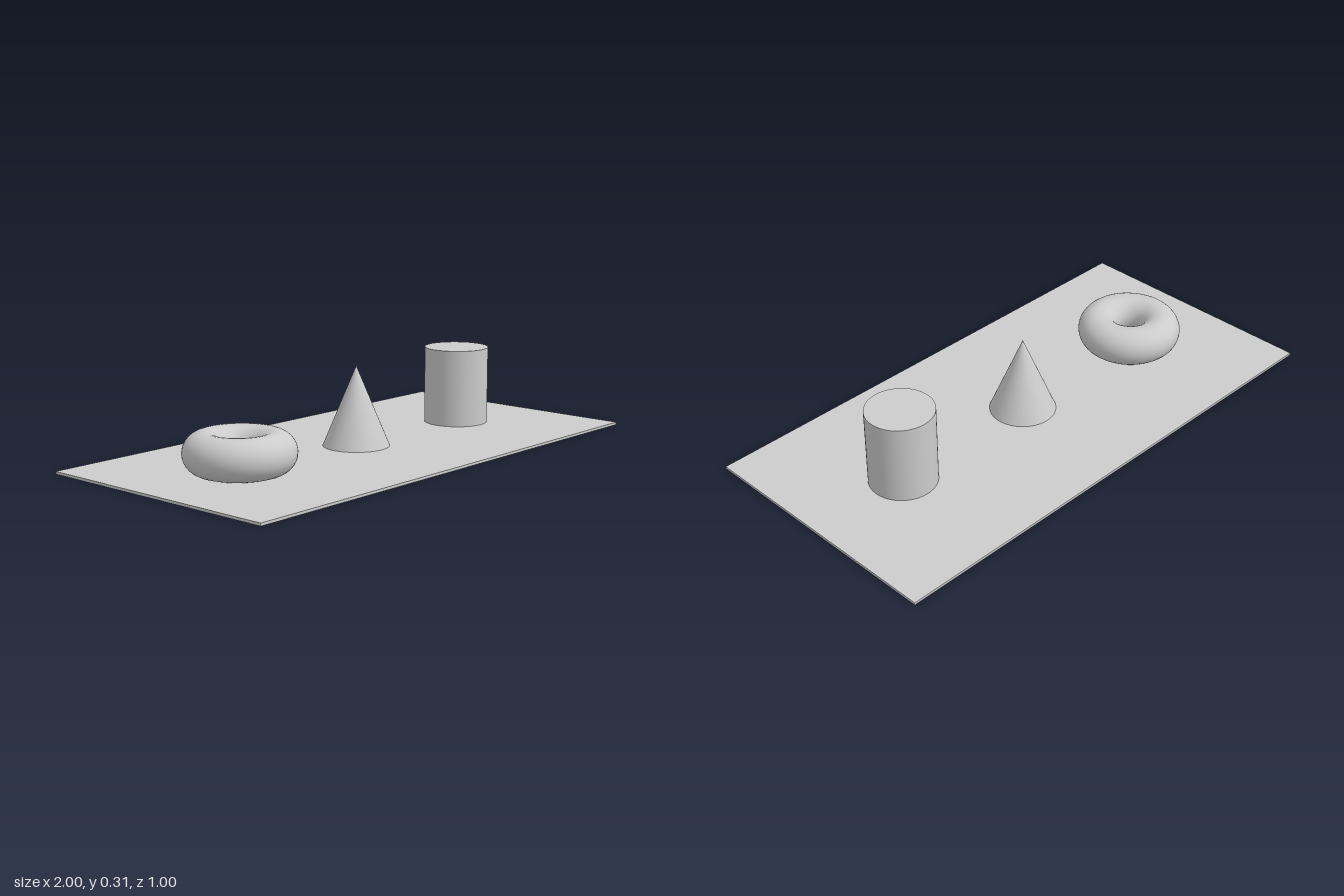
import * as THREE from 'three';

const PLATE = 0.01; // plate thickness
const RADIUS = 0.125;
const HEIGHT = 0.3;

export function createModel() {
  const model = new THREE.Group();
  model.name = 'solidsOnPlate';
  const material = new THREE.MeshStandardMaterial({ color: 0xcccccc });

  const add = (name, geometry, x, y) => {
    const mesh = new THREE.Mesh(geometry, material);
    mesh.name = name;
    mesh.position.set(x, y, 0);
    model.add(mesh);
  };

  // Thin base plate
  add('basePlate', new THREE.BoxGeometry(2, PLATE, 1), 0, PLATE / 2);

  // Ring lying flat on the plate
  const tube = 0.075;
  const ring = new THREE.TorusGeometry(RADIUS, tube, 32, 64).rotateX(Math.PI / 2);
  add('ring', ring, -0.6, PLATE + tube);

  // Cone in the middle
  add('cone', new THREE.ConeGeometry(RADIUS, HEIGHT, 64), 0, PLATE + HEIGHT / 2);

  // Upright cylinder
  add('cylinder', new THREE.CylinderGeometry(RADIUS, RADIUS, HEIGHT, 64), 0.6, PLATE + HEIGHT / 2);

  return model;
}
